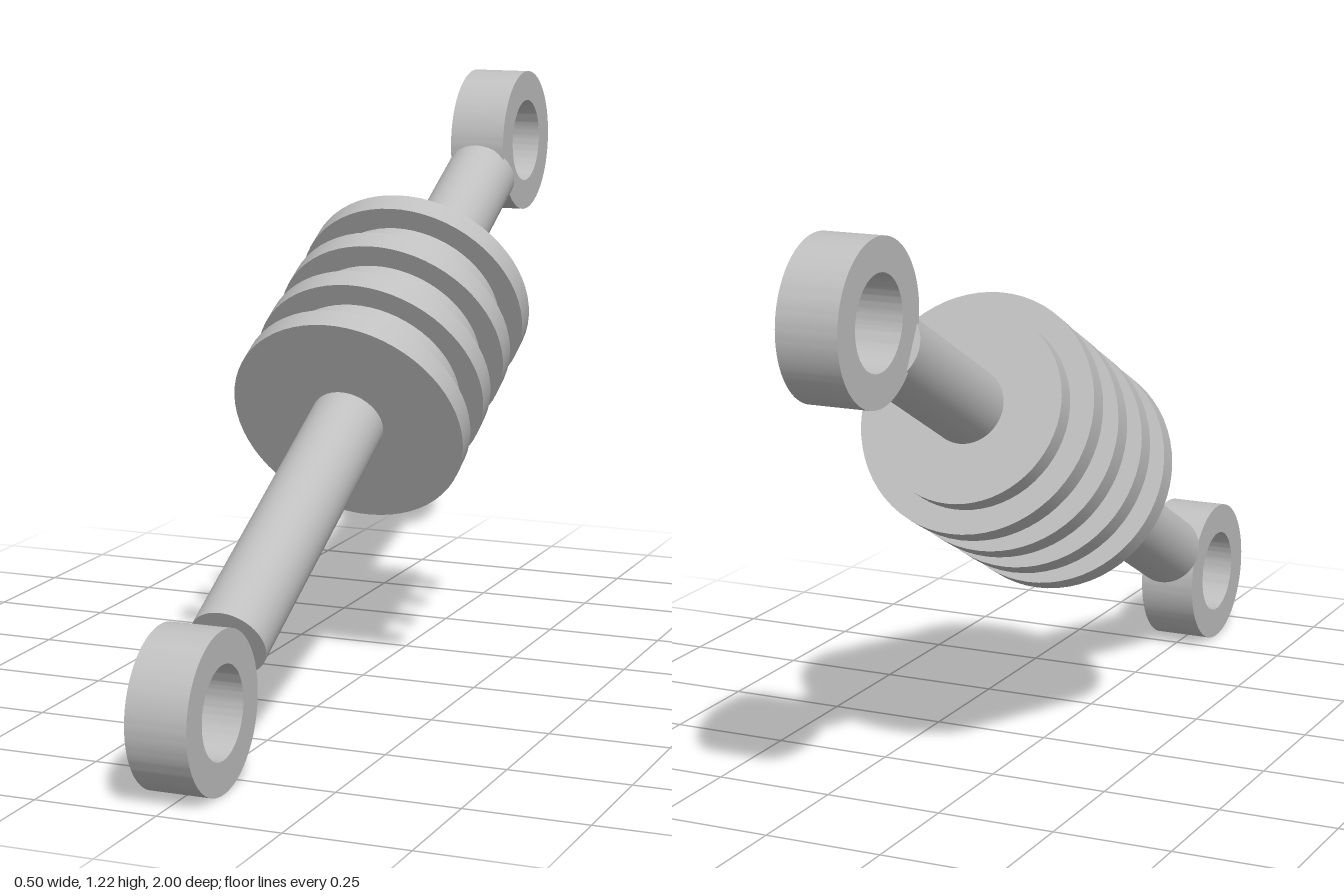
import * as THREE from 'three';
import { toCreasedNormals } from 'three/addons/utils/BufferGeometryUtils.js';

const TILT = Math.atan2(0.45, 0.842); // slope of the strut, rising towards the back
const HALF = Math.hypot(0.45, 0.842); // centre to eye centre

export function createModel() {
  const model = new THREE.Group();
  model.name = 'damperStrut';
  const steel = new THREE.MeshStandardMaterial({ color: 0xbfbfbf });
  steel.name = 'grey steel';

  // Everything is built along a local y axis, then tilted
  const strut = new THREE.Group();
  strut.name = 'strut';
  strut.position.y = 0.609;
  strut.rotation.x = TILT - Math.PI / 2;
  model.add(strut);

  function addCylinder(name, radius, from, to) {
    const mesh = new THREE.Mesh(new THREE.CylinderGeometry(radius, radius, to - from, 64), steel);
    mesh.name = name;
    mesh.position.y = (from + to) / 2;
    strut.add(mesh);
  }

  // Rod, and the insulator body with its four fins
  addCylinder('rod', 0.078, -0.773, 0.811);
  addCylinder('body', 0.2, -0.09, 0.409);
  for (let i = 0; i < 4; i++) {
    const start = -0.096 + i * 0.1365;
    addCylinder('fin' + (i + 1), 0.25, start, start + 0.05);
  }

  // Mounting eyes at both ends, bored along x
  const outline = new THREE.Shape().absarc(0, 0, 0.158, 0, Math.PI * 2, false);
  outline.holes.push(new THREE.Path().absarc(0, 0, 0.092, 0, Math.PI * 2, true));
  const extruded = new THREE.ExtrudeGeometry(outline, { depth: 0.125, bevelEnabled: false, curveSegments: 64 });
  extruded.translate(0, 0, -0.0625).rotateY(Math.PI / 2);
  const eyeGeometry = toCreasedNormals(extruded, 0.6);
  for (const [name, y] of [['frontEye', -HALF], ['backEye', HALF]]) {
    const eye = new THREE.Mesh(eyeGeometry, steel);
    eye.name = name;
    eye.position.y = y;
    strut.add(eye);
  }

  return model;
}
